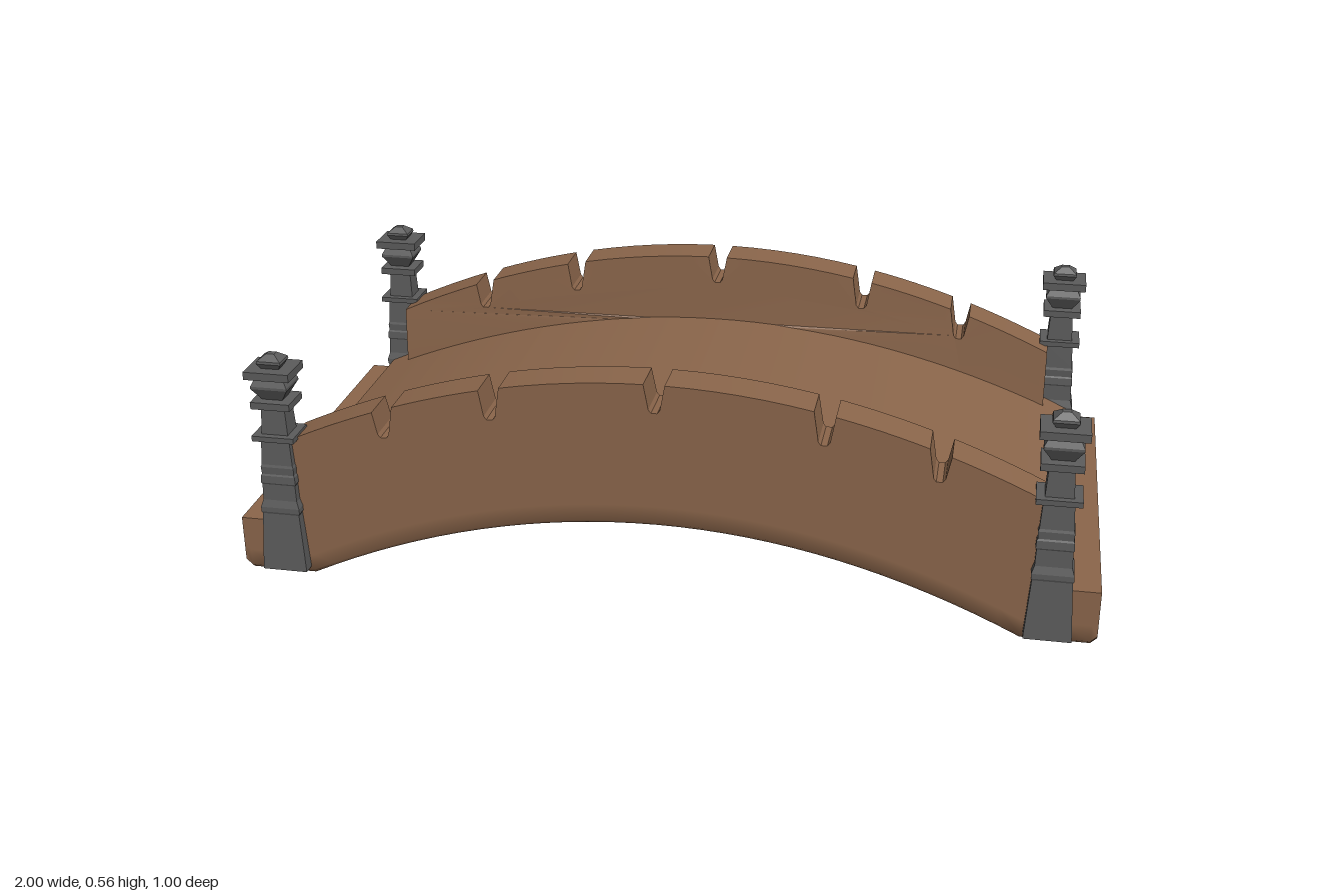
import * as THREE from 'three';
import { toCreasedNormals } from 'three/addons/utils/BufferGeometryUtils.js';

const HALF_WIDTH = 0.47;
const deckY = x => 0.385 - 0.242 * x * x;
const railY = x => 0.555 - 0.277 * x * x;
const underY = x => Math.max(0, 0.205 * (1 - (x / 0.83) ** 2));

// Arched slab: cross-sections lofted along x, with softened lower edges
function archGeometry() {
  const stations = [[-1, 0.014, 0.135], [-0.986, 0, 0.135], [-0.922, 0, 0.135], [-0.92, 0, 0.18]];
  const steps = 32;
  for (let i = 0; i <= steps; i++) {
    const x = -0.83 + 1.66 * i / steps;
    stations.push([x, underY(x), deckY(x)]);
  }
  stations.push([0.92, 0, 0.18], [0.922, 0, 0.135], [0.986, 0, 0.135], [1, 0.014, 0.135]);

  const n = 10, w = HALF_WIDTH, pos = [], index = [];
  for (const [x, b, t] of stations) {
    const half = [[w, t], [w, b + 0.05], [w, b + 0.01], [w - 0.01, b], [w - 0.05, b]];
    for (const [z, y] of half) pos.push(x, y, z);
    for (const [z, y] of half.reverse()) pos.push(x, y, -z);
  }
  const quad = (a, b, c, d) => index.push(a, b, c, a, c, d);
  for (let i = 0; i < stations.length - 1; i++) {
    for (let j = 0; j < n; j++) {
      const k = (j + 1) % n;
      quad(i * n + j, i * n + k, (i + 1) * n + k, (i + 1) * n + j);
    }
  }
  // End caps, in horizontal strips
  const last = (stations.length - 1) * n;
  for (let j = 0; j < 3; j++) {
    quad(last + j, last + j + 1, last + 8 - j, last + 9 - j);
    quad(9 - j, 8 - j, j + 1, j);
  }
  const g = new THREE.BufferGeometry();
  g.setAttribute('position', new THREE.Float32BufferAttribute(pos, 3));
  g.setIndex(index);
  return toCreasedNormals(g, 0.9);
}

// Curved parapet with tapering notches cut through its top
function parapetGeometry() {
  const notches = [-0.632, -0.378, 0, 0.378, 0.632];
  const depths = [0.07, 0.075, 0.068, 0.075, 0.07];
  const end = 0.86, top = [];
  let from = -end;
  const run = to => {
    for (let i = 0; i <= 6; i++) {
      const x = from + (to - from) * i / 6;
      top.push([x, railY(x)]);
    }
  };
  notches.forEach((x, i) => {
    const floor = railY(x) - depths[i];
    run(x - 0.024);
    top.push([x - 0.013, floor + 0.008], [x - 0.007, floor], [x + 0.007, floor], [x + 0.013, floor + 0.008]);
    from = x + 0.024;
  });
  run(end);
  const bottom = [];
  for (let i = 0; i <= 32; i++) {
    const x = -end + 2 * end * i / 32;
    bottom.push([x, deckY(x) - 0.012]);
  }
  const outline = [...bottom, ...top.reverse()].map(p => new THREE.Vector2(...p));
  const g = new THREE.ExtrudeGeometry(new THREE.Shape(outline), { depth: 1, bevelEnabled: false });
  // Outer face is upright, inner face leans slightly outward
  const p = g.attributes.position;
  for (let i = 0; i < p.count; i++) {
    const inner = 0.364 + 0.06 * (p.getY(i) - deckY(p.getX(i)));
    p.setZ(i, p.getZ(i) > 0.5 ? HALF_WIDTH : inner);
  }
  return toCreasedNormals(g, 0.4);
}

// Square stepped post: [half width, height] profile
function postGeometry() {
  const profile = [
    [0, 0.02], [0.046, 0.02], [0.038, 0.165], [0.04, 0.17], [0.04, 0.182], [0.035, 0.2],
    [0.034, 0.24], [0.036, 0.244], [0.035, 0.262], [0.033, 0.266], [0.034, 0.284], [0.032, 0.29],
    [0.029, 0.353], [0.043, 0.353], [0.043, 0.366], [0.027, 0.366],
    [0.024, 0.433], [0.04, 0.433], [0.04, 0.45], [0.021, 0.452],
    [0.037, 0.482], [0.037, 0.488], [0.028, 0.508], [0.046, 0.508], [0.046, 0.527],
    [0.018, 0.527], [0.025, 0.54], [0.024, 0.546], [0.008, 0.56], [0, 0.56],
  ];
  const points = profile.map(([r, y]) => new THREE.Vector2(r * Math.SQRT2, y));
  const g = new THREE.LatheGeometry(points, 4, Math.PI / 4).toNonIndexed();
  g.scale(1.17, 1, 1);
  g.computeVertexNormals();
  return g;
}

export function createModel() {
  const wood = new THREE.MeshStandardMaterial({ color: 0x8b664b });
  wood.name = 'brown wood';
  const iron = new THREE.MeshStandardMaterial({ color: 0x5c5c5c });
  iron.name = 'dark grey iron';

  const model = new THREE.Group();
  model.name = 'archedBridge';
  const add = (name, geometry, material) => {
    const mesh = new THREE.Mesh(geometry, material);
    mesh.name = name;
    model.add(mesh);
    return mesh;
  };

  add('archedDeck', archGeometry(), wood);

  const parapet = parapetGeometry();
  add('frontParapet', parapet, wood);
  add('backParapet', parapet, wood).rotation.y = Math.PI;

  const post = postGeometry();
  for (const [zName, z] of [['front', 0.455], ['back', -0.455]]) {
    for (const [xName, x] of [['Left', 0.89], ['Right', -0.89]]) {
      add(`${zName}${xName}Post`, post, iron).position.set(x, 0, z);
    }
  }
  return model;
}
